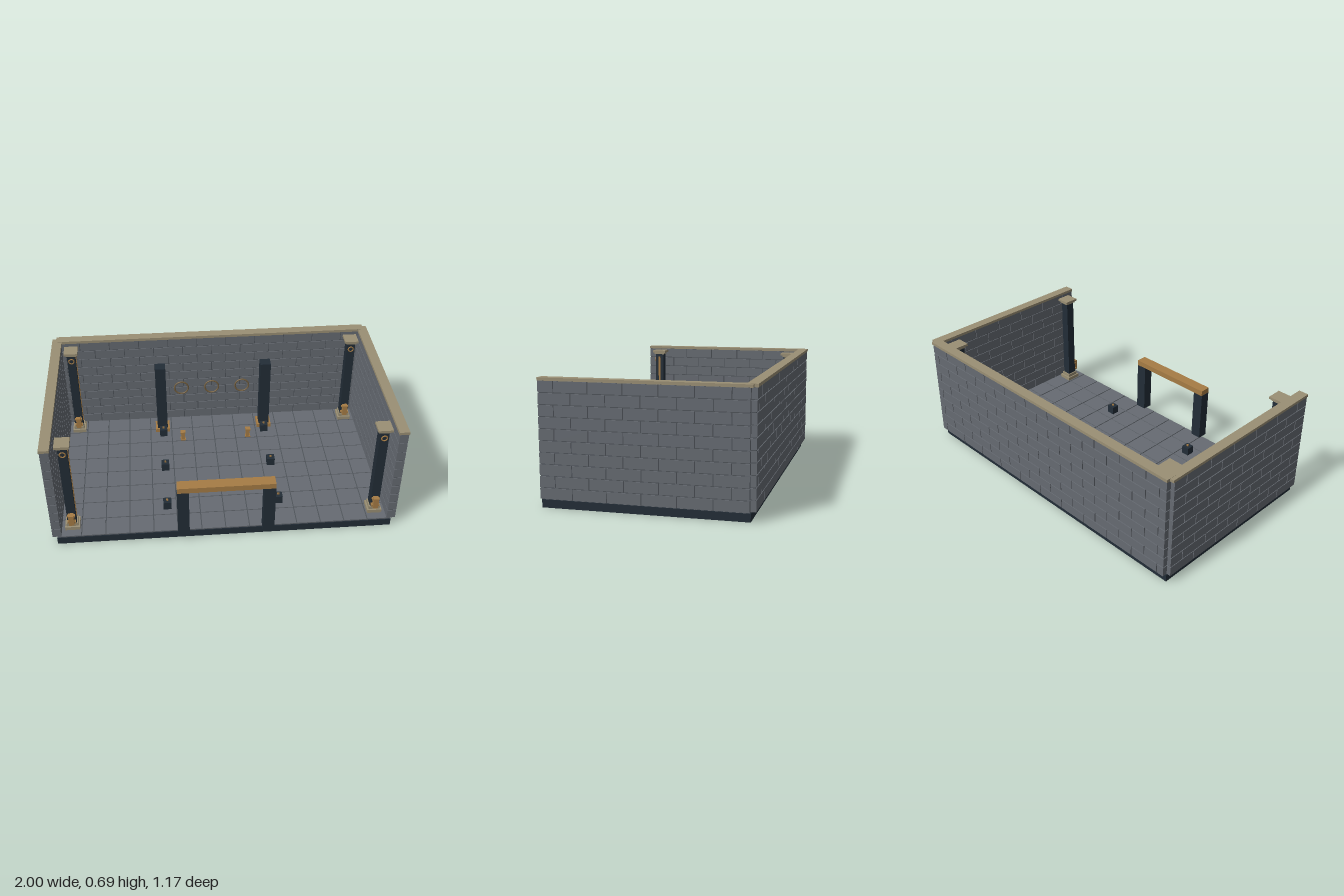
import * as THREE from 'three';
import { mergeGeometries } from 'three/addons/utils/BufferGeometryUtils.js';

const mat = (name, color) => {
  const m = new THREE.MeshStandardMaterial({ color });
  m.name = name;
  return m;
};

export function createModel() {
  const stone = mat('stone grey', 0x666b72);
  const mortar = mat('mortar grey', 0x4e5359);
  const dark = mat('dark slate', 0x222d37);
  const tan = mat('tan stone', 0x9a8f74);
  const gold = mat('bronze gold', 0xa67c45);
  const bronze = mat('dull bronze', 0x75603f);

  const root = new THREE.Group();
  root.name = 'openHall';

  const group = (name, x = 0, y = 0, z = 0) => {
    const g = new THREE.Group();
    g.name = name;
    g.position.set(x, y, z);
    root.add(g);
    return g;
  };
  const add = (parent, name, geometry, material, x = 0, y = 0, z = 0) => {
    const m = new THREE.Mesh(geometry, material);
    m.name = name;
    m.position.set(x, y, z);
    parent.add(m);
    return m;
  };
  // Box given by its lower and upper corners
  const span = (x0, x1, y0, y1, z0, z1) =>
    new THREE.BoxGeometry(x1 - x0, y1 - y0, z1 - z0)
      .translate((x0 + x1) / 2, (y0 + y1) / 2, (z0 + z1) / 2);

  // Foundation and tiled floor
  add(root, 'foundation', span(-0.97, 0.97, 0, 0.044, -0.555, 0.55), dark);
  add(root, 'floorBed', span(-0.965, 0.965, 0.044, 0.047, -0.55, 0.546), mortar);
  const tiles = [];
  const pitch = 0.1385, gap = 0.003;
  for (let i = -7; i < 7; i++) {
    for (let j = -4; j < 4; j++) {
      tiles.push(span(i * pitch + gap, (i + 1) * pitch - gap, 0.044, 0.052,
        j * pitch * 0.99 + gap, (j + 1) * pitch * 0.99 - gap));
    }
  }
  add(root, 'floorTiles', mergeGeometries(tiles), stone);

  // Brick wall running along x, in staggered courses
  const bottom = 0.052, courseHeight = 0.062, brickLength = 0.185;
  const brickWall = (name, lo, hi, thickness) => {
    const g = group(name);
    const bricks = [];
    for (let row = 0; row < 10; row++) {
      const y = bottom + row * courseHeight;
      const shift = row % 2 ? brickLength / 2 : 0;
      for (let k = -7; k < 7; k++) {
        const a = Math.max(lo, k * brickLength + shift);
        const b = Math.min(hi, (k + 1) * brickLength + shift);
        if (b - a < 0.012) continue;
        bricks.push(span(a + 0.0025, b - 0.0025, y + 0.0025, y + courseHeight - 0.0025,
          -thickness / 2, thickness / 2));
      }
    }
    add(g, 'bricks', mergeGeometries(bricks), stone);
    add(g, 'mortarCore', span(lo + 0.006, hi - 0.006, bottom, 0.672,
      -thickness / 2 + 0.005, thickness / 2 - 0.005), mortar);
    return g;
  };
  brickWall('backWall', -0.973, 0.973, 0.05).position.z = -0.557;
  add(root, 'backWallCoping', span(-0.975, 0.975, 0.671, 0.688, -0.587, -0.528), tan);
  for (const s of [-1, 1]) {
    const side = s > 0 ? 'left' : 'right';
    const wall = brickWall(side + 'Wall', -0.55, 0.555, 0.05);
    wall.rotation.y = Math.PI / 2;
    wall.position.x = s * 0.97;
    add(root, side + 'WallCoping', new THREE.BoxGeometry(0.058, 0.016, 1.115), tan,
      s * 0.97, 0.679, -0.0085);
  }

  // Corner columns with stepped tan ends and bronze fittings
  const box = (w, h, d) => new THREE.BoxGeometry(w, h, d);
  for (const x of [-0.883, 0.883]) {
    for (const z of [-0.463, 0.452]) {
      const c = group('cornerColumn', x, 0, z);
      add(c, 'plinth', box(0.084, 0.022, 0.09), tan, 0, 0.063, 0);
      add(c, 'plinthStep', box(0.066, 0.02, 0.07), tan, 0, 0.084, 0);
      add(c, 'shaft', box(0.052, 0.55, 0.055), dark, 0, 0.367, 0);
      add(c, 'neck', box(0.064, 0.012, 0.068), tan, 0, 0.644, 0);
      add(c, 'capital', box(0.084, 0.014, 0.09), tan, 0, 0.657, 0);
      add(c, 'edgeStrip', box(0.005, 0.5, 0.012), gold, 0.027, 0.37, 0);
      add(c, 'lowerBracket', box(0.048, 0.012, 0.024), gold, 0, 0.112, 0.036);
      add(c, 'lowerBracketTop', box(0.044, 0.01, 0.02), gold, 0, 0.155, 0.034);
      add(c, 'lowerLamp', box(0.03, 0.07, 0.032), gold, 0, 0.133, 0.042);
      add(c, 'upperRing', new THREE.TorusGeometry(0.016, 0.004, 6, 16), gold, 0, 0.6, 0.03);
    }
  }

  for (const x of [-0.335, 0.335]) {
    // Tall inner pillars with a bronze collar
    const p = group('innerPillar', x, 0, -0.425);
    add(p, 'shaft', box(0.066, 0.488, 0.066), dark, 0, 0.296, 0);
    add(p, 'collar', box(0.092, 0.024, 0.092), gold, 0, 0.064, 0);
    // Low floor blocks with a small stud
    for (const z of [-0.355, -0.007, 0.345]) {
      const b = group('floorBlock', x * 0.988, 0, z);
      add(b, 'block', box(0.048, 0.05, 0.048), dark, 0, 0.077, 0);
      add(b, 'stud', box(0.012, 0.012, 0.008), gold, 0, 0.107, 0);
    }
  }

  // Small hanging lanterns
  for (const x of [-0.208, 0.208]) {
    const l = group('lantern', x, 0.145, -0.215);
    add(l, 'body', box(0.024, 0.056, 0.024), gold);
    add(l, 'top', box(0.032, 0.008, 0.03), gold, 0, 0.027, 0);
    add(l, 'bottom', box(0.032, 0.008, 0.03), gold, 0, -0.027, 0);
  }

  // Rings on the back wall
  for (const x of [-0.2, 0, 0.2]) {
    add(root, 'wallRing', new THREE.TorusGeometry(0.045, 0.005, 8, 32), bronze, x, 0.295, -0.53);
  }

  // Entrance gate
  const gate = group('gate', 0, 0, 0.55);
  for (const x of [-0.244, 0.244]) {
    add(gate, 'gatePost', box(0.066, 0.317, 0.062), dark, x, 0.2085, 0.003);
  }
  add(gate, 'gateBeam', box(0.552, 0.034, 0.066), gold, 0, 0.384, 0.003);

  return root;
}
